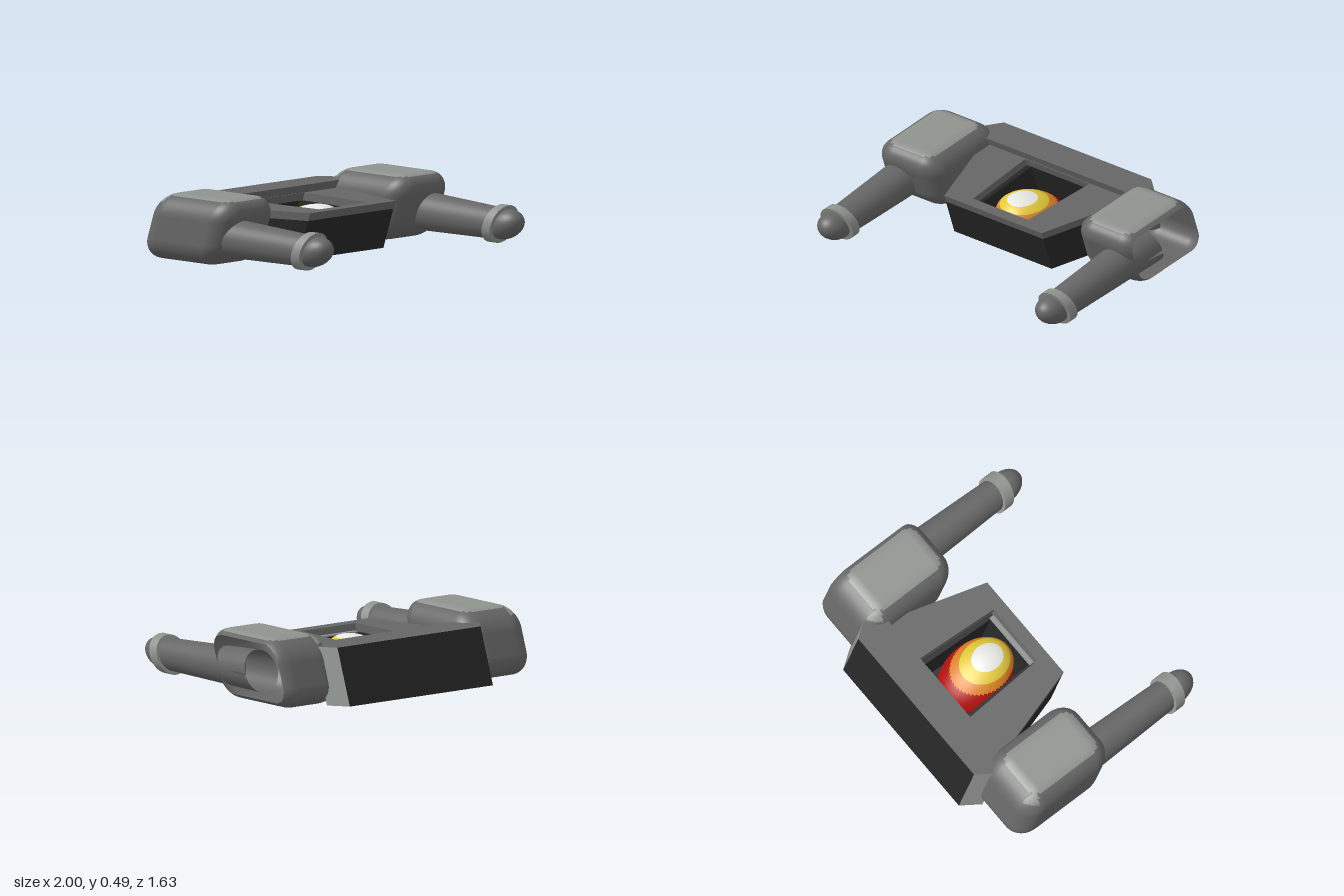
import * as THREE from 'three';
import { RoundedBoxGeometry } from 'three/addons/geometries/RoundedBoxGeometry.js';

const CX = 0.025;    // centre line of the body
const SLANT = 0.34;  // everything leans forward towards the top
const CUT = 1;       // the outer left side is sliced open here

const mat = (name, color, side = THREE.FrontSide) => {
  const m = new THREE.MeshStandardMaterial({ color, side });
  m.name = name;
  return m;
};

// Shear z by height around y0
function lean(geo, y0, s = SLANT) {
  return geo.applyMatrix4(new THREE.Matrix4().set(1, 0, 0, 0, 0, 1, 0, 0, 0, s, 1, -s * y0, 0, 0, 0, 1));
}

// Sort triangles into material groups by a rule on normal and centroid
function paint(geo, pick) {
  const g = geo.index ? geo.toNonIndexed() : geo;
  const p = g.attributes.position;
  const buckets = [];
  const tri = new THREE.Triangle(), n = new THREE.Vector3(), c = new THREE.Vector3();
  for (let i = 0; i < p.count; i += 3) {
    tri.setFromAttributeAndIndices(p, i, i + 1, i + 2);
    tri.getNormal(n);
    tri.getMidpoint(c);
    (buckets[pick(n, c)] ??= []).push(i, i + 1, i + 2);
  }
  g.clearGroups();
  let start = 0;
  buckets.forEach((b, k) => { g.addGroup(start, b.length, k); start += b.length; });
  g.setIndex(buckets.flat());
  return g;
}

// Slice off everything beyond the cut plane, leaving an open rim
function slice(geo) {
  const p = geo.attributes.position;
  const old = geo.index.array, kept = [], groups = geo.groups.slice();
  for (let i = 0; i < p.count; i++) p.setX(i, Math.min(p.getX(i), CUT));
  geo.clearGroups();
  for (const gr of groups) {
    const start = kept.length;
    for (let i = gr.start; i < gr.start + gr.count; i += 3) {
      const t = [old[i], old[i + 1], old[i + 2]];
      if (!t.every(v => p.getX(v) > CUT - 1e-5)) kept.push(...t);
    }
    geo.addGroup(start, kept.length - start, gr.materialIndex);
  }
  geo.setIndex(kept);
  return geo;
}

// Mirrored outline from [half width, z] points
function outline(half, Type = THREE.Shape) {
  const pts = half.map(([x, z]) => new THREE.Vector2(CX + x, -z));
  const mirror = half.map(([x, z]) => new THREE.Vector2(CX - x, -z)).reverse();
  return new Type([...pts, ...mirror]);
}

// Upright slab between two heights with an optional opening
function slab(half, y0, y1, hole) {
  const s = outline(half);
  if (hole) s.holes.push(outline(hole, THREE.Path));
  return new THREE.ExtrudeGeometry(s, { depth: y1 - y0, bevelEnabled: false })
    .rotateX(-Math.PI / 2).translate(0, y0, 0);
}

export function createModel() {
  const model = new THREE.Group();
  const grey = mat('grey', 0x666666, THREE.DoubleSide);
  const light = mat('light grey', 0x8f938e, THREE.DoubleSide);
  const black = mat('black', 0x262626);
  const rings = [mat('white', 0xeaeae6), mat('yellow', 0xe3c93c), mat('orange', 0xdd8426), mat('red', 0xb01210)];
  const add = (name, geo, m, parent = model) => {
    const mesh = new THREE.Mesh(geo, m);
    mesh.name = name;
    parent.add(mesh);
    return mesh;
  };

  // Wedge hull: black floor and walls, grey deck frame around an open pit
  const hull = [[0.38, 0.18], [0.615, -0.6]];
  const pit = [[0.19, 0.07], [0.215, -0.48]];
  const opening = [[0.215, 0.1], [0.25, -0.48]];
  add('hullFloor', lean(slab(hull, 0.065, 0.1), 0.37), black);
  add('hullWalls', lean(slab(hull, 0.1, 0.32, pit), 0.37), black);
  add('deckFrame', lean(slab(hull, 0.32, 0.37, opening), 0.37), grey);
  add('pitSill', lean(slab([[0.2, 0.1], [0.2, 0.07]], 0.32, 0.328), 0.37), light);

  // Rear block: black back and underside, light rear chamfers
  const block = slab([[0.55, -0.47], [0.66, -0.57], [0.575, -0.69]], 0.065, 0.42);
  paint(block, n => {
    if (n.z < -0.95 || n.y < -0.9) return 1;
    return n.z < -0.2 ? 2 : 0;
  });
  add('rearBlock', lean(block, 0.42), [grey, black, light]);

  // Core ball with concentric colour rings, poking through the floor
  const core = paint(new THREE.SphereGeometry(1, 48, 48), (n, c) => {
    const r = Math.hypot(c.x, c.z);
    return r < 0.45 ? 0 : r < 0.72 ? 1 : r < 0.88 ? 2 : 3;
  });
  core.scale(0.205, 0.18, 0.24).translate(CX, 0.18, -0.22);
  add('coreBall', lean(core, 0.18, 0.6), rings);

  for (const side of [-1, 1]) {
    const arm = new THREE.Group();
    arm.name = side < 0 ? 'rightArm' : 'leftArm';
    model.add(arm);
    const x = CX + side * 0.85;

    // Rounded pod with light top and a worn back corner
    const pod = paint(new RoundedBoxGeometry(0.495, 0.425, 0.69, 8, 0.14), n => {
      const corner = n.x < -0.2 && n.z < -0.25 && n.y > 0.6;
      return n.y > 0.91 || corner ? 1 : 0;
    });
    lean(pod, 0).translate(CX + side * 0.7775, 0.2775, -0.31);
    add('pod', slice(pod), [grey, light], arm);

    // Tapered barrel
    const barrel = paint(new THREE.CylinderGeometry(0.1, 0.13, 0.91, 32, 6, true), () => 0);
    barrel.rotateX(Math.PI / 2 + 0.022);
    lean(barrel, 0).translate(x, 0.235, 0.175);
    add('barrel', slice(barrel), [grey], arm);

    // Light collar and domed tip
    const collar = new THREE.CylinderGeometry(0.122, 0.122, 0.07, 32).rotateX(Math.PI / 2);
    add('collar', lean(collar, 0).translate(x, 0.225, 0.63), light, arm);
    const tip = new THREE.SphereGeometry(0.097, 32, 20).scale(1, 1, 1.33);
    add('barrelTip', lean(tip, 0).translate(x, 0.225, 0.682), grey, arm);
  }
  return model;
}
